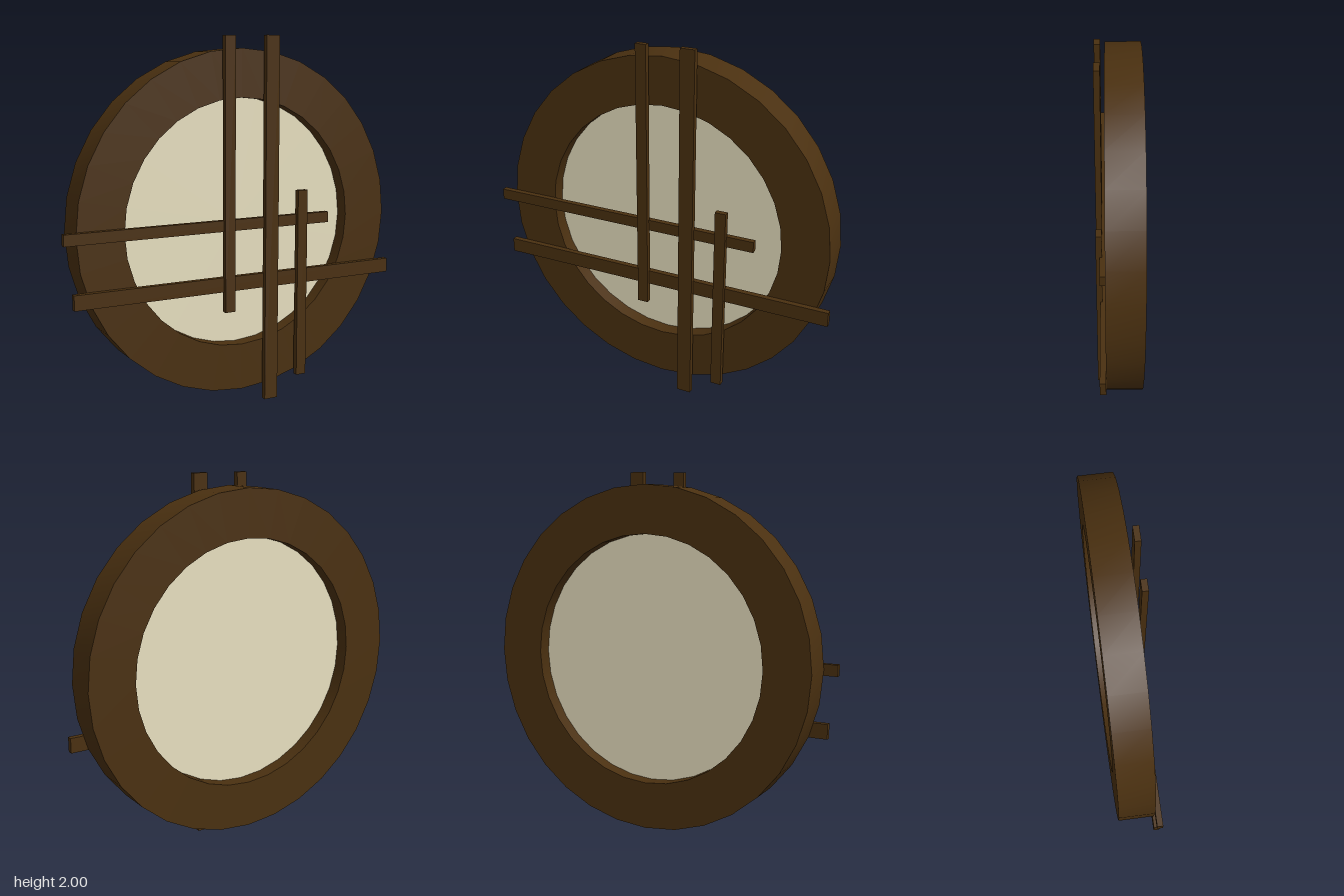
import * as THREE from 'three';
import { toCreasedNormals } from 'three/addons/utils/BufferGeometryUtils.js';

export function createModel() {
  const model = new THREE.Group();
  model.name = 'roundLatticeWindow';
  const wood = new THREE.MeshStandardMaterial({ color: 0x4a3010 });
  const paper = new THREE.MeshStandardMaterial({ color: 0xe8e0c0 });

  const SIDES = 32, CX = 0.025, CY = 1;
  const add = (name, geometry, material, x, y, z) => {
    const mesh = new THREE.Mesh(geometry, material);
    mesh.name = name;
    mesh.position.set(x, y, z);
    model.add(mesh);
  };

  // Round frame: rectangular section turned about the z axis
  const inner = 0.675, outer = 0.932, back = -0.119, front = 0.069;
  const section = [[inner, back], [outer, back], [outer, front], [inner, front], [inner, back]]
    .map(([r, z]) => new THREE.Vector2(r, z));
  const ring = new THREE.LatheGeometry(section, SIDES).rotateX(Math.PI / 2);
  add('frame', toCreasedNormals(ring, Math.PI / 6), wood, CX, CY, 0);

  // Thin pane set midway in the frame
  const pane = new THREE.CylinderGeometry(inner, inner, 0.03, SIDES).rotateX(Math.PI / 2);
  add('pane', pane, paper, CX, CY, -0.025);

  // Lattice bars given by their edges: x0, x1, y0, y1
  const bar = (name, x0, x1, y0, y1, z) => add(name,
    new THREE.BoxGeometry(x1 - x0, y1 - y0, 0.031), wood, (x0 + x1) / 2, (y0 + y1) / 2, z);

  // Horizontal bars lie against the frame
  bar('upperHorizontalBar', -0.98, 0.56, 0.97, 1.03, 0.084);
  bar('lowerHorizontalBar', -0.935, 0.98, 0.64, 0.72, 0.084);

  // Vertical bars cross in front of them
  bar('rightVerticalBar', -0.10, -0.04, 0.53, 1.995, 0.104);
  bar('middleVerticalBar', 0.145, 0.225, 0, 2, 0.104);
  bar('leftVerticalBar', 0.35, 0.41, 0.11, 1.165, 0.104);

  return model;
}
